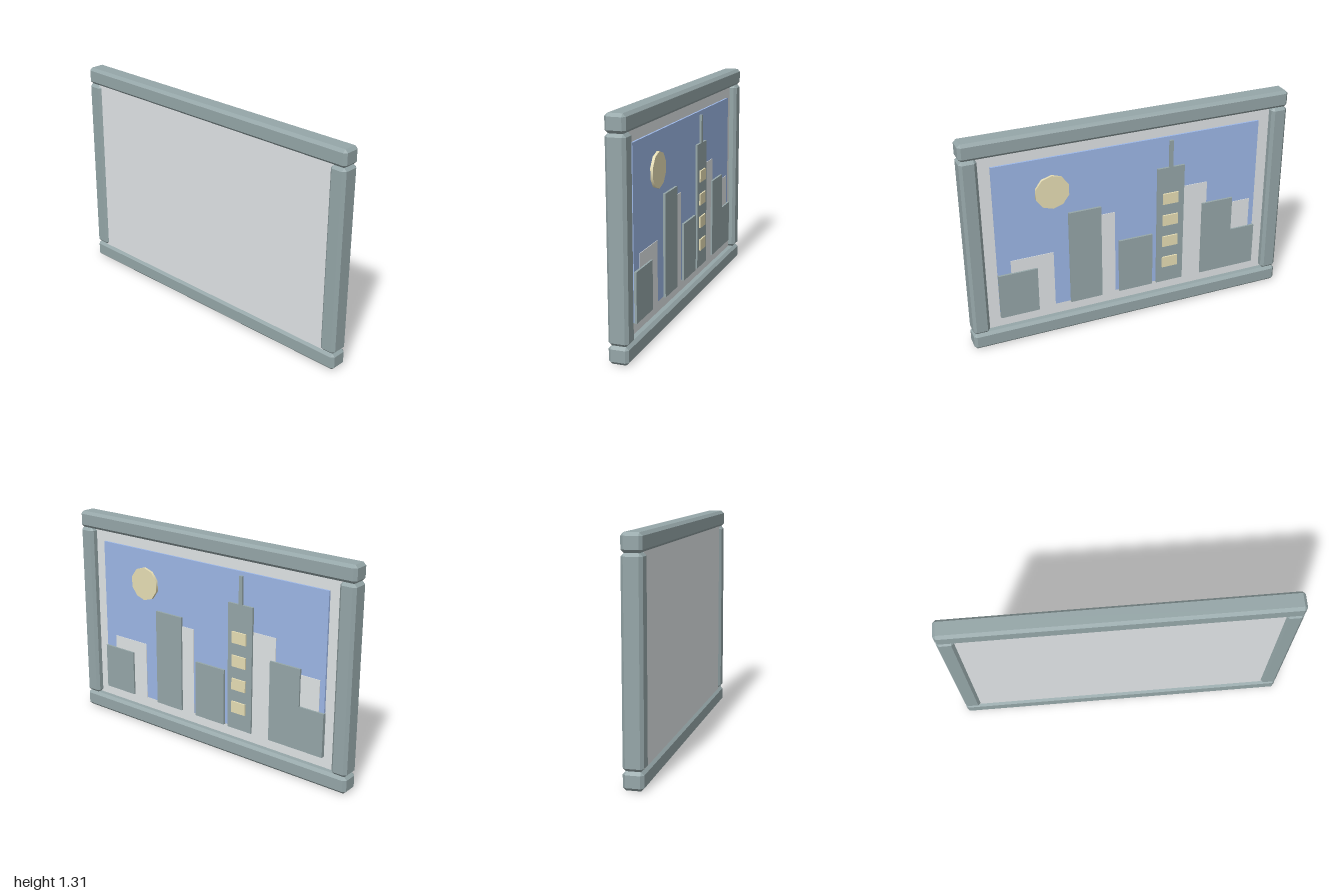
import * as THREE from 'three';
import { ConvexGeometry } from 'three/addons/geometries/ConvexGeometry.js';

const mat = (name, color) => {
  const m = new THREE.MeshStandardMaterial({ color });
  m.name = name;
  return m;
};

// Box with every edge and corner cut at 45 degrees
function chamferedBox(w, h, d, c) {
  const points = [];
  for (const sx of [-1, 1]) for (const sy of [-1, 1]) for (const sz of [-1, 1]) {
    const x = w / 2, y = h / 2, z = d / 2;
    points.push(
      new THREE.Vector3(sx * x, sy * (y - c), sz * (z - c)),
      new THREE.Vector3(sx * (x - c), sy * y, sz * (z - c)),
      new THREE.Vector3(sx * (x - c), sy * (y - c), sz * z));
  }
  return new ConvexGeometry(points);
}

export function createModel() {
  const model = new THREE.Group();
  model.name = 'framedSkyline';
  const frameGreen = mat('frame grey green', 0x95a6a8);
  const paleGrey = mat('pale grey', 0xe0e4e6);
  const skyBlue = mat('sky blue', 0x9db8e8);
  const warmTan = mat('warm tan', 0xebe2b8);

  const add = (parent, name, geometry, material, x, y, z) => {
    const mesh = new THREE.Mesh(geometry, material);
    mesh.name = name;
    mesh.position.set(x, y, z);
    parent.add(mesh);
    return mesh;
  };
  // Block given by its limits on each axis
  const block = (parent, name, material, x0, x1, y0, y1, z0, z1) =>
    add(parent, name, new THREE.BoxGeometry(x1 - x0, y1 - y0, z1 - z0), material,
      (x0 + x1) / 2, (y0 + y1) / 2, (z0 + z1) / 2);

  // Frame: two long rails with two stiles between them
  const frame = new THREE.Group();
  frame.name = 'frame';
  model.add(frame);
  const rail = chamferedBox(2, 0.102, 0.114, 0.017);
  add(frame, 'bottomRail', rail, frameGreen, 0, 0.051, 0);
  add(frame, 'topRail', rail, frameGreen, 0, 1.263, 0);
  const stile = chamferedBox(0.1, 1.11, 0.114, 0.017);
  add(frame, 'leftStile', stile, frameGreen, 0.95, 0.657, 0);
  add(frame, 'rightStile', stile, frameGreen, -0.95, 0.657, 0);

  // Panel with the relief picture on its back
  block(model, 'panel', paleGrey, -0.92, 0.92, 0.09, 1.23, -0.012, 0.042);
  const picture = new THREE.Group();
  picture.name = 'picture';
  model.add(picture);
  block(picture, 'sky', skyBlue, -0.826, 0.826, 0.175, 1.14, -0.024, -0.005);

  const sun = new THREE.CylinderGeometry(0.103, 0.103, 0.018, 10).rotateX(Math.PI / 2);
  add(picture, 'sun', sun, warmTan, 0.483, 0.93, -0.031);

  // Distant buildings: [x min, x max, top]
  for (const [x0, x1, top] of [
    [0.488, 0.747, 0.535], [0.103, 0.34, 0.718], [-0.495, -0.25, 0.8], [-0.793, -0.58, 0.625],
  ]) block(picture, 'distantBuilding', paleGrey, x0, x1, 0.172, top, -0.027, -0.015);

  // Near buildings, the tower and its mast
  for (const [name, x0, x1, top] of [
    ['nearBuilding', 0.592, 0.826, 0.455], ['nearBuilding', 0.192, 0.392, 0.775],
    ['nearBuilding', -0.136, 0.08, 0.52], ['tower', -0.338, -0.165, 0.947],
    ['nearBuilding', -0.668, -0.464, 0.66], ['lowBuilding', -0.831, -0.668, 0.436],
  ]) block(picture, name, frameGreen, x0, x1, 0.17, top, -0.038, -0.015);
  block(picture, 'mast', frameGreen, -0.263, -0.24, 0.94, 1.117, -0.038, -0.015);

  // Lit windows up the tower
  for (let i = 0; i < 4; i++) {
    const y = 0.311 + i * 0.145;
    block(picture, 'towerWindow', warmTan, -0.298, -0.199, y - 0.035, y + 0.035, -0.047, -0.0375);
  }
  return model;
}
